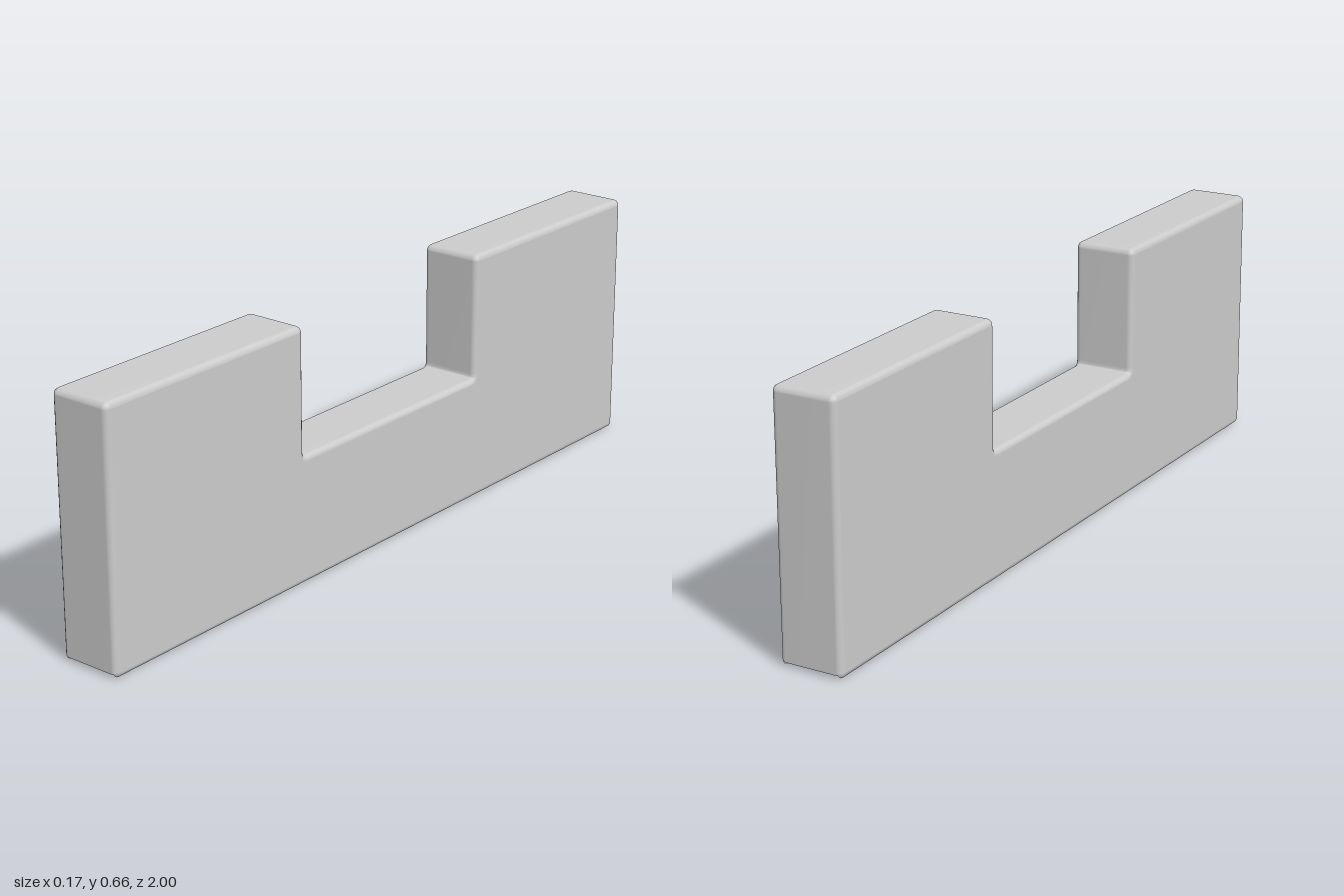
import * as THREE from 'three';
import { mergeVertices } from 'three/addons/utils/BufferGeometryUtils.js';

const B = 0.015; // edge rounding radius
const HALF_WIDTH = 0.083;

// Closed outline whose corners [x, y, radius] are rounded
function roundedOutline(corners) {
  const shape = new THREE.Shape();
  const n = corners.length;
  corners.forEach(([x, y, r], i) => {
    const p = new THREE.Vector2(x, y);
    const toward = (c) => new THREE.Vector2(c[0], c[1]).sub(p).setLength(r).add(p);
    const a = toward(corners[(i + n - 1) % n]);
    const b = toward(corners[(i + 1) % n]);
    if (i === 0) shape.moveTo(a.x, a.y);
    else shape.lineTo(a.x, a.y);
    shape.quadraticCurveTo(x, y, b.x, b.y);
  });
  shape.closePath();
  return shape;
}

// Drop the underside so that the shell is open below, keeping the rolled side rims
function openUnderside(geometry) {
  const pos = geometry.attributes.position;
  const kept = [];
  for (let i = 0; i < pos.count; i += 3) {
    const x = (pos.getX(i) + pos.getX(i + 1) + pos.getX(i + 2)) / 3;
    const y = (pos.getY(i) + pos.getY(i + 1) + pos.getY(i + 2)) / 3;
    if (y < 0.012 && Math.abs(x) < 0.074) continue;
    for (let k = i; k < i + 3; k++) kept.push(pos.getX(k), pos.getY(k), pos.getZ(k));
  }
  const open = new THREE.BufferGeometry();
  open.setAttribute('position', new THREE.Float32BufferAttribute(kept, 3));
  const smooth = mergeVertices(open, 1e-5);
  smooth.computeVertexNormals();
  return smooth;
}

export function createModel() {
  const group = new THREE.Group();
  group.name = 'notchedWall';

  // Side outline, inset by the rounding radius that the bevel adds back
  const end = 1 - B, top = 0.665 - B, notch = 0.34 + B, floor = 0.333 - B;
  const outer = 0.002, inner = B + 0.012;
  const outline = roundedOutline([
    [-end, B, outer], [end, B, outer], [end, top, outer], [notch, top, outer],
    [notch, floor, inner], [-notch, floor, inner], [-notch, top, outer], [-end, top, outer],
  ]);

  const depth = 2 * (HALF_WIDTH - B);
  const geometry = new THREE.ExtrudeGeometry(outline, {
    depth, curveSegments: 4,
    bevelEnabled: true, bevelSize: B, bevelThickness: B, bevelSegments: 4,
  });
  geometry.translate(0, 0, -depth / 2);
  geometry.rotateY(Math.PI / 2);

  // Hollow wall shell with a central notch
  const wall = new THREE.Mesh(
    openUnderside(geometry),
    new THREE.MeshStandardMaterial({ color: 0xcccccc, side: THREE.DoubleSide }),
  );
  wall.name = 'wallShell';
  group.add(wall);
  return group;
}
